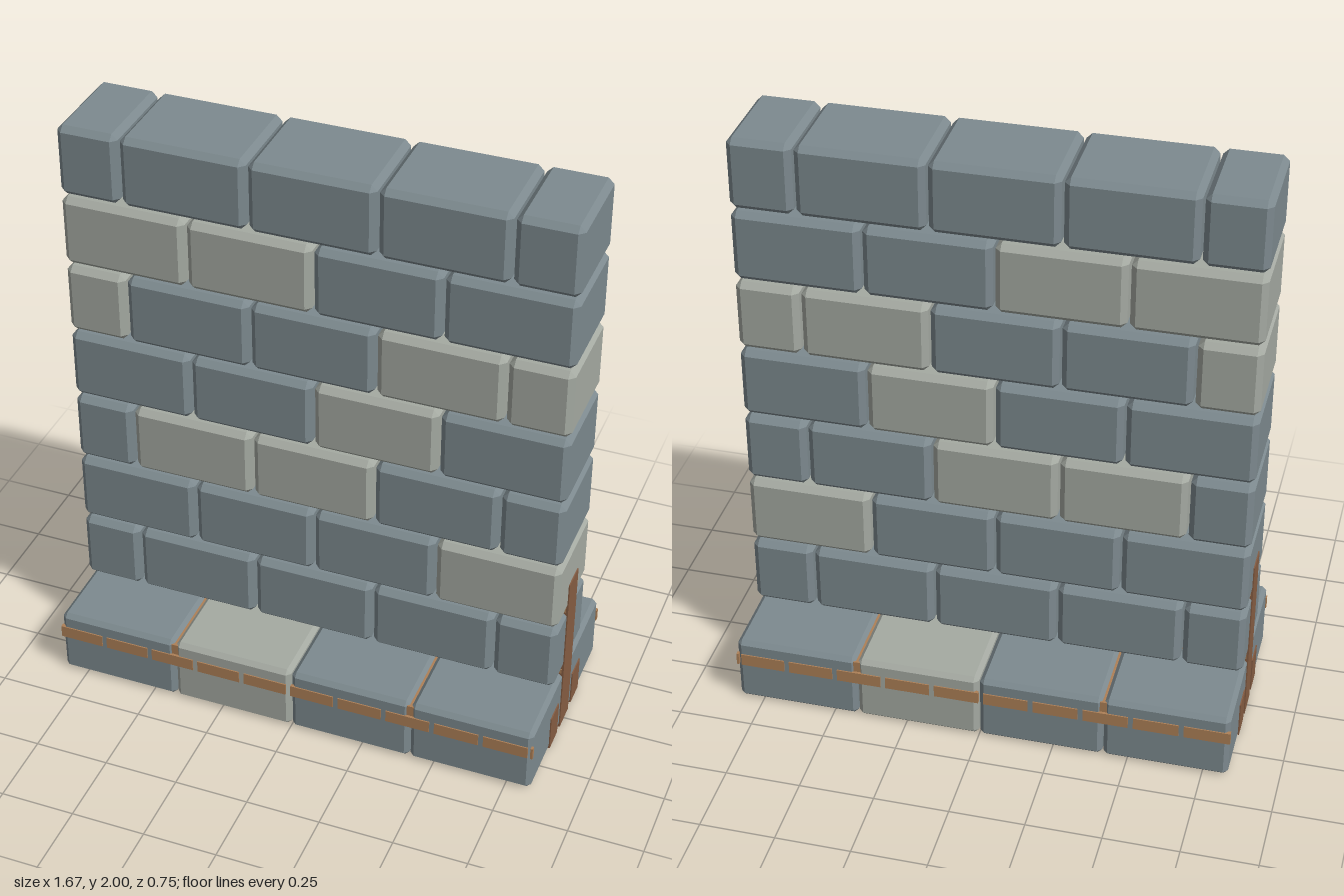
import * as THREE from 'three';
import { ConvexGeometry } from 'three/addons/geometries/ConvexGeometry.js';

const material = (name, color) => {
  const m = new THREE.MeshStandardMaterial({ color });
  m.name = name;
  return m;
};

// Block with every edge chamfered, spanning two corners
function chamferedBlock(min, max, c) {
  const half = max.map((v, i) => (v - min[i]) / 2);
  const mid = max.map((v, i) => (v + min[i]) / 2);
  const points = [];
  for (const sx of [-1, 1]) for (const sy of [-1, 1]) for (const sz of [-1, 1]) {
    const s = [sx, sy, sz];
    for (let full = 0; full < 3; full++) {
      points.push(new THREE.Vector3(...s.map((k, i) => k * (half[i] - (i === full ? 0 : c)))));
    }
  }
  return new ConvexGeometry(points).translate(...mid);
}

export function createModel() {
  const slate = material('slate stone', 0x7d8a8f);
  const pale = material('pale stone', 0xa5aaa2);
  const timber = material('dark timber', 0x865d43);
  const lightTimber = material('light timber', 0xae8057);

  const model = new THREE.Group();
  model.name = 'brickWall';
  const add = (parent, name, geometry, mat) => {
    const mesh = new THREE.Mesh(geometry, mat);
    mesh.name = name;
    parent.add(mesh);
  };
  const box = (parent, name, mat, x0, x1, y0, y1, z0, z1) => add(parent, name,
    new THREE.BoxGeometry(x1 - x0, y1 - y0, z1 - z0)
      .translate((x0 + x1) / 2, (y0 + y1) / 2, (z0 + z1) / 2), mat);
  const group = (name) => {
    const g = new THREE.Group();
    g.name = name;
    model.add(g);
    return g;
  };

  // Brick courses from bottom to top; p marks a pale brick, s a slate one
  const even = [-0.833, -0.417, 0, 0.417, 0.833];
  const odd = [-0.833, -0.628, -0.21, 0.206, 0.623, 0.833];
  const courses = ['sssss', 'sssp', 'sppss', 'ssps', 'psspp', 'ppss', 'sssss'];
  const wall = group('wall');
  courses.forEach((row, r) => {
    const edges = row.length === 5 ? odd : even;
    const y = 0.26 + r * 0.25;
    [...row].forEach((key, i) => {
      const x0 = edges[i] + (i ? 0.004 : 0);
      const x1 = edges[i + 1] - (i < row.length - 1 ? 0.004 : 0);
      add(wall, 'wallBrick', chamferedBlock([x0, y, -0.164], [x1, y + 0.24, 0.164], 0.019),
        key === 'p' ? pale : slate);
    });
  });

  // Base: a front and a back row of four wide blocks
  const base = group('base');
  [['spss', 0, 0.37], ['ssps', -0.37, 0]].forEach(([row, z0, z1]) => {
    [...row].forEach((key, i) => {
      add(base, 'baseBlock',
        chamferedBlock([even[i] + (i ? 0.002 : 0), 0, z0], [even[i + 1] - (i < 3 ? 0.002 : 0), 0.235, z1], 0.015),
        key === 'p' ? pale : slate);
    });
  });

  // Timber frame hidden in the joints
  const frame = group('frame');
  for (const y of [0.245, 0.505]) box(frame, 'jointRail', lightTimber, -0.83, 0.83, y - 0.009, y + 0.009, -0.05, 0.05);
  for (const x of [-0.21, 0.206]) box(frame, 'jointStud', lightTimber, x - 0.012, x + 0.012, 0.24, 0.5, -0.05, 0.05);
  for (const x of [-0.417, 0.417]) box(frame, 'crossTie', lightTimber, x - 0.012, x + 0.012, 0.14, 0.222, -0.365, 0.365);

  // End posts with a short stub on either side
  for (const s of [-1, 1]) {
    const end = group(s < 0 ? 'rightEndTimbers' : 'leftEndTimbers');
    const [a, b] = s < 0 ? [-0.837, -0.815] : [0.815, 0.837];
    box(end, 'post', timber, a, b, 0, 0.61, -0.048, 0.048);
    for (const z of [-0.12, 0.12]) box(end, 'stub', timber, a, b, 0.003, 0.13, z - 0.042, z + 0.042);
  }

  // Row of inlaid strips along the front and back of the base
  const strips = group('inlaidStrips');
  for (const z of [-0.368, 0.368]) {
    for (let i = 0; i < 10; i++) {
      const x = -0.834 + i * 0.167;
      box(strips, 'strip', lightTimber, x, x + 0.15, 0.14, 0.183, z - 0.006, z + 0.006);
    }
    // Strip ends turning the corners
    for (const s of [-1, 1]) {
      const zs = Math.sign(z) * 0.366;
      box(strips, 'stripEnd', lightTimber, s * 0.832 - 0.004, s * 0.832 + 0.004, 0.14, 0.183, zs - 0.007, zs + 0.007);
    }
  }
  return model;
}
